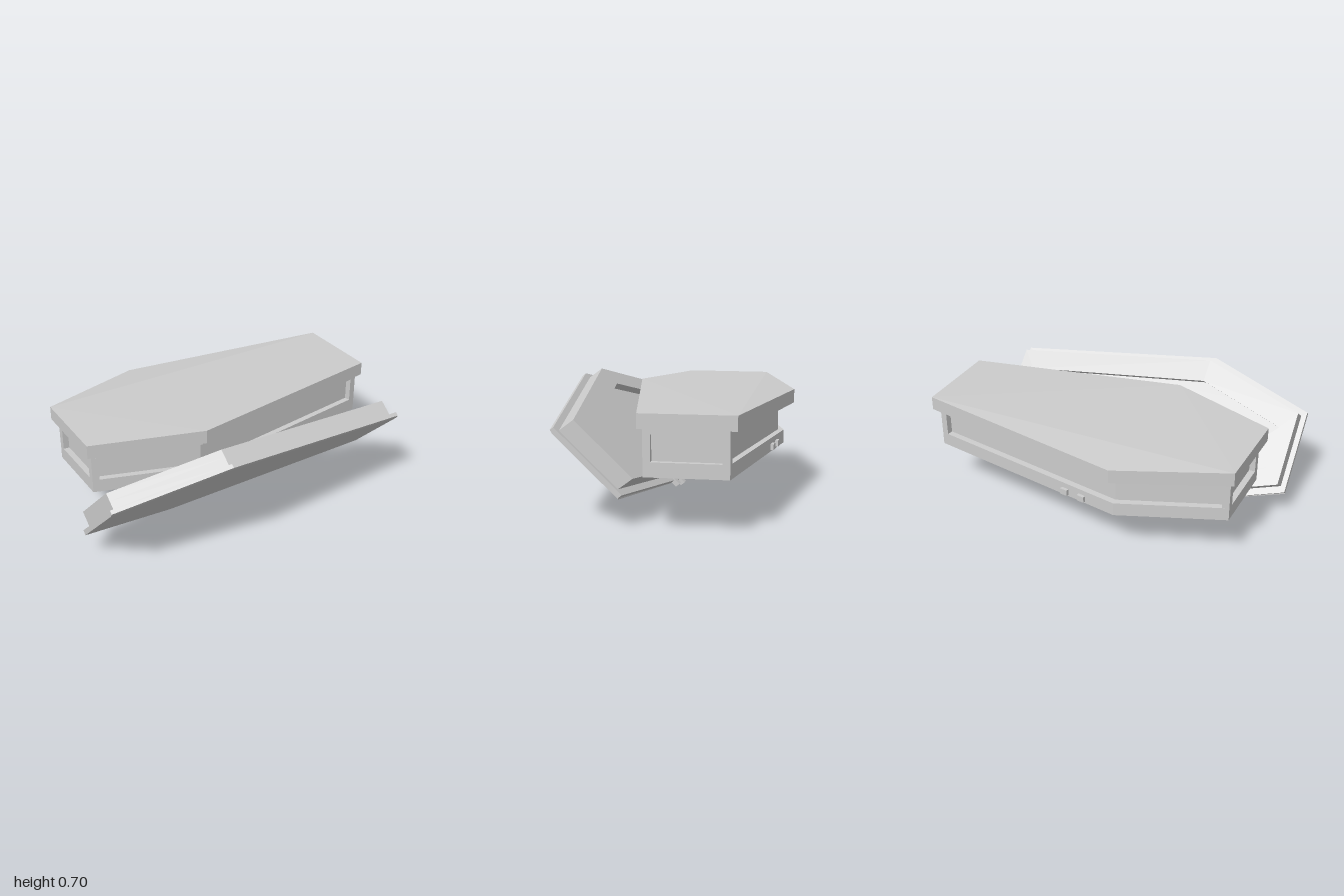
import * as THREE from 'three';

const stone = new THREE.MeshStandardMaterial({ color: 0xcccccc });
stone.name = 'pale grey';

const path = (pts, P) => new P(pts.map(([x, z]) => new THREE.Vector2(x, -z)));

// Upright prism over an (x, z) outline, with an optional opening wound the same way
function prism(pts, y0, y1, hole) {
  const shape = path(pts, THREE.Shape);
  if (hole) shape.holes.push(path([...hole].reverse(), THREE.Path));
  const g = new THREE.ExtrudeGeometry(shape, { depth: y1 - y0, bevelEnabled: false });
  return g.rotateX(-Math.PI / 2).translate(0, y0, 0);
}

// Unit direction from corner a to corner b
function dir(a, b) {
  const l = Math.hypot(b[0] - a[0], b[1] - a[1]);
  return [(b[0] - a[0]) / l, (b[1] - a[1]) / l];
}

// Moves every edge of a convex outline inward by d
function inset(pts, d) {
  const n = pts.length;
  return pts.map((p, i) => {
    const a = dir(pts[(i + n - 1) % n], p), b = dir(p, pts[(i + 1) % n]);
    const k = d / Math.abs(a[0] * b[1] - a[1] * b[0]);
    return [p[0] + (b[0] - a[0]) * k, p[1] + (b[1] - a[1]) * k];
  });
}

function add(group, name, geometry) {
  const m = new THREE.Mesh(geometry, stone);
  m.name = name;
  group.add(m);
}

// The body sags slightly across its widest corners
function sag(g) {
  const p = g.attributes.position;
  for (let i = 0; i < p.count; i++) {
    const x = p.getX(i), z = p.getZ(i), dx = x + 0.26;
    const w = Math.max(0, 1 - Math.abs(dx) / (dx > 0 ? 1.26 : 0.64));
    p.setY(i, p.getY(i) + 0.047 * (z + 0.05) * w - 0.005 * (x - 1));
  }
  g.computeVertexNormals();
  return g;
}

function createBody() {
  const body = new THREE.Group();
  body.name = 'body';
  const slab = [[-0.9, 0.045], [-0.89, -0.46], [-0.26, -0.68], [1, -0.47], [1, 0.045], [-0.27, 0.267]];
  const wall = [[-0.865, 0.01], [-0.86, -0.425], [-0.26, -0.62], [0.975, -0.43], [0.975, 0.02], [-0.27, 0.225]];
  const core = inset(wall, 0.035), opening = inset(wall, 0.105);

  add(body, 'baseSlab', sag(prism(slab, 0.549, 0.63)));
  add(body, 'upperBand', sag(prism(wall, 0.52, 0.549)));
  add(body, 'recessedPanels', sag(prism(core, 0.4, 0.52)));
  add(body, 'innerWall', sag(prism(core, 0.375, 0.4, opening)));
  add(body, 'lowerRim', sag(prism(wall, 0.296, 0.375, opening)));

  // Posts at the head and foot corners, square to both walls
  for (const i of [0, 1, 3, 4]) {
    const p = wall[i], q = core[i], w = 0.04;
    const along = (o, d) => {
      const s = w + (p[0] - o[0]) * d[0] + (p[1] - o[1]) * d[1];
      return [o[0] + d[0] * s, o[1] + d[1] * s];
    };
    const a = dir(p, wall[(i + 1) % 6]), b = dir(p, wall[(i + 5) % 6]);
    add(body, 'cornerPost', sag(prism([p, along(p, a), along(q, a), q, along(q, b), along(p, b)], 0.375, 0.52)));
  }

  // Hinge blocks on the long back side
  const d = dir(wall[2], wall[3]);
  for (const x of [-0.05, 0.065]) {
    const z = wall[2][1] + (x - wall[2][0]) * d[1] / d[0];
    const g = new THREE.BoxGeometry(0.045, 0.036, 0.036);
    add(body, 'bodyHinge', g.rotateY(-Math.atan2(d[1], d[0])).translate(x, 0.309, z));
  }
  return body;
}

function createLid() {
  const lid = new THREE.Group();
  lid.name = 'lid';
  // Leaning frame: y is the lid's thickness, z runs up its slope
  const lean = new THREE.Matrix4().makeBasis(
    new THREE.Vector3(1, 0, 0), new THREE.Vector3(0, 0.6, -0.8), new THREE.Vector3(0, 0.65, 0.67)
  ).setPosition(0, 0.005, 0);
  const put = (name, g) => add(lid, name, g.applyMatrix4(lean));

  const flange = [[-0.995, 0.775], [-0.35, 1], [0.9, 0.785], [0.9, 0.246], [-0.37, 0], [-1, 0.238]];
  const raised = [[-0.965, 0.745], [-0.35, 0.96], [0.872, 0.752], [0.872, 0.285], [-0.37, 0.045], [-0.97, 0.272]];
  const opening = [[-0.88, 0.63], [-0.35, 0.815], [0.78, 0.635], [0.78, 0.39], [-0.37, 0.18], [-0.88, 0.36]];

  // Outer face, bevelled along its upper edge
  const face = prism(flange, -0.006, 0), p = face.attributes.position;
  for (let i = 0; i < p.count; i++) if (p.getY(i) < -0.003) p.setZ(i, p.getZ(i) * 0.97);
  face.computeVertexNormals();
  put('lidFace', face);
  put('lidFlange', prism(flange, 0, 0.024));
  put('lidFloor', prism(raised, 0.024, 0.075));
  put('lidRim', prism(raised, 0.075, 0.122, opening));

  // Hinge blocks on the lower edge
  for (const x of [-0.17, -0.06]) {
    const v = (x + 0.37) * 0.246 / 1.27;
    put('lidHinge', new THREE.BoxGeometry(0.05, 0.03, 0.05).translate(x, 0.015, v - 0.01));
  }
  return lid;
}

export function createModel() {
  const model = new THREE.Group();
  model.name = 'openCoffin';
  model.add(createBody(), createLid());
  return model;
}
